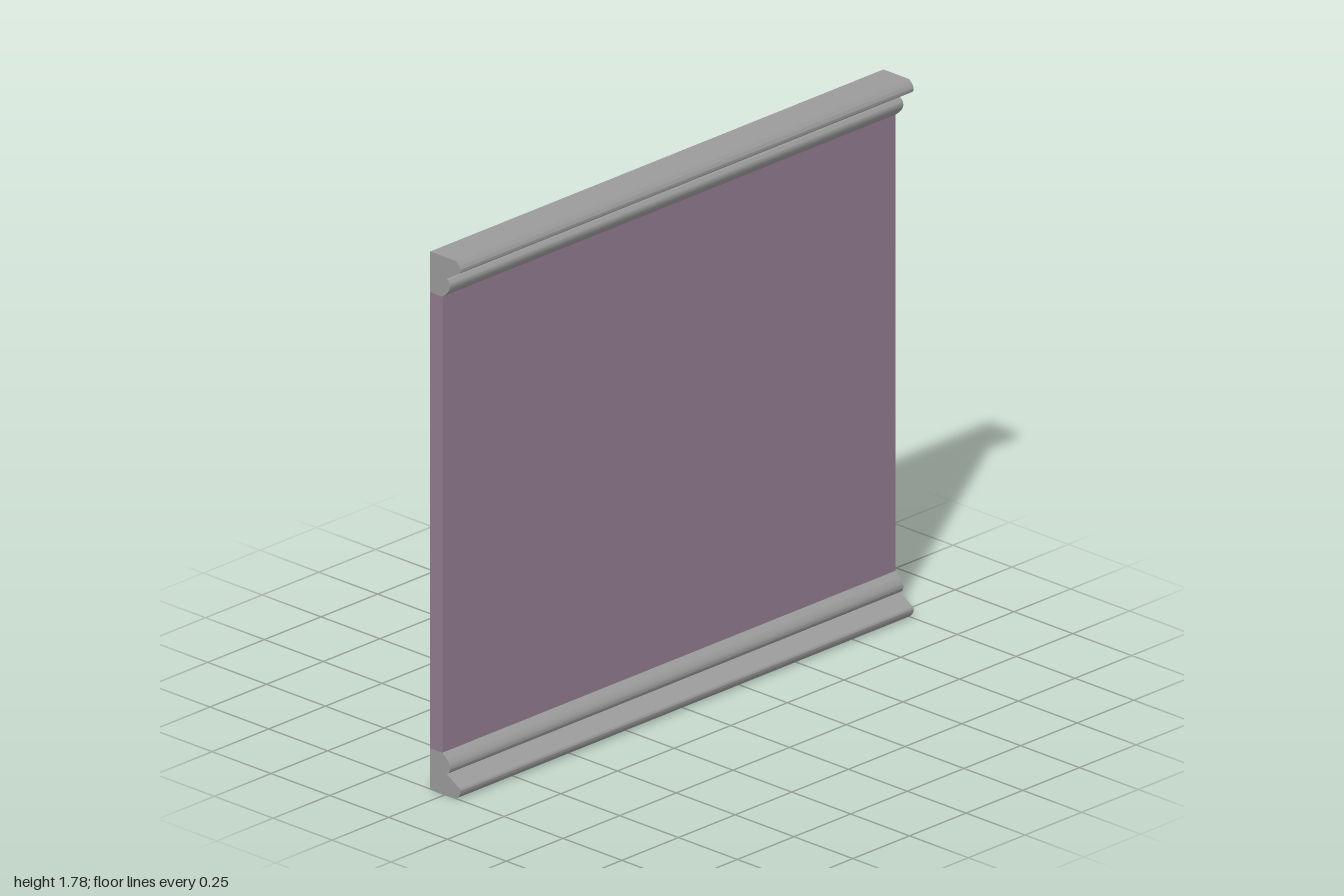
import * as THREE from 'three';
import { toCreasedNormals } from 'three/addons/utils/BufferGeometryUtils.js';

const WIDTH = 2, HEIGHT = 1.784, BACK = -0.064, PANEL_FRONT = -0.013, TRIM = 0.135;

// Moulding section as (z, y), with y measured from the outer edge inward
function mouldingPoints() {
  const nose = new THREE.CubicBezierCurve(
    new THREE.Vector2(0.045, 0), new THREE.Vector2(0.062, 0.012),
    new THREE.Vector2(0.074, 0.033), new THREE.Vector2(0.056, 0.04));
  const bead = new THREE.CubicBezierCurve(
    new THREE.Vector2(0.006, 0.07), new THREE.Vector2(0.025, 0.08),
    new THREE.Vector2(0.032, 0.104), new THREE.Vector2(PANEL_FRONT, TRIM));
  return [
    new THREE.Vector2(BACK, 0),
    ...nose.getPoints(14),
    ...bead.getPoints(14),
    new THREE.Vector2(BACK, TRIM),
  ];
}

function moulding(name, material, toHeight) {
  const shape = new THREE.Shape(mouldingPoints().map((p) => new THREE.Vector2(p.x, toHeight(p.y))));
  const geometry = new THREE.ExtrudeGeometry(shape, { depth: WIDTH, bevelEnabled: false, steps: 1 });
  geometry.translate(0, 0, -WIDTH / 2);
  geometry.rotateY(-Math.PI / 2); // section runs along x
  const mesh = new THREE.Mesh(toCreasedNormals(geometry, Math.PI / 6), material);
  mesh.name = name;
  return mesh;
}

export function createModel() {
  const group = new THREE.Group();
  group.name = 'wallPanel';
  const grey = new THREE.MeshStandardMaterial({ color: 0x9a9a9a });
  grey.name = 'trim grey';
  const mauve = new THREE.MeshStandardMaterial({ color: 0x907a8f });
  mauve.name = 'wall mauve';

  // Flat wall between the two mouldings
  const depth = PANEL_FRONT - BACK;
  const wall = new THREE.Mesh(new THREE.BoxGeometry(WIDTH, HEIGHT - 2 * TRIM, depth), mauve);
  wall.position.set(0, HEIGHT / 2, BACK + depth / 2);
  wall.name = 'wall';

  // Matching mouldings, mirrored top to bottom
  group.add(
    wall,
    moulding('baseboard', grey, (y) => y),
    moulding('crownMoulding', grey, (y) => HEIGHT - y),
  );
  return group;
}
